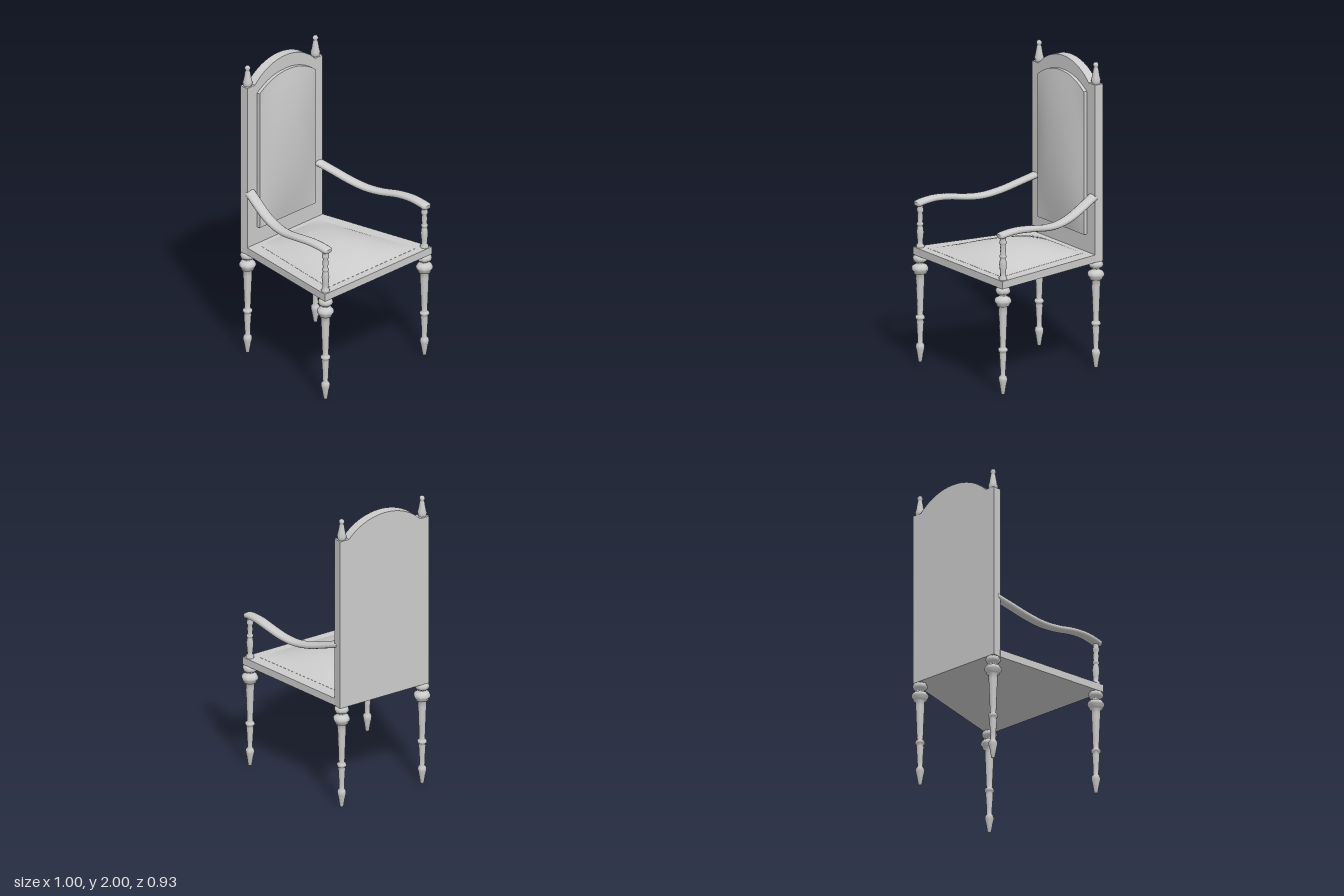
import * as THREE from 'three';
import { toCreasedNormals } from 'three/addons/utils/BufferGeometryUtils.js';

const material = new THREE.MeshStandardMaterial({ color: 0xcccccc, side: THREE.DoubleSide });

function addMesh(parent, name, geometry, x = 0, y = 0, z = 0) {
  const mesh = new THREE.Mesh(geometry, material);
  mesh.name = name;
  mesh.position.set(x, y, z);
  parent.add(mesh);
  return mesh;
}

// Eight-sided turned part from [radius, height] pairs, bottom to top
function turned(profile) {
  return new THREE.LatheGeometry(profile.map(([r, y]) => new THREE.Vector2(r, y)), 8);
}

// Domed cushion: the outermost ring of the grid forms a short skirt
function cushion(place) {
  const n = 18;
  const geometry = new THREE.PlaneGeometry(2, 2, n, n);
  const pos = geometry.attributes.position;
  const inner = (i) => THREE.MathUtils.clamp((i - 1) / (n - 2), 0, 1) * 2 - 1;
  for (let k = 0; k < pos.count; k++) {
    const col = k % (n + 1), row = Math.floor(k / (n + 1));
    const u = inner(col), v = -inner(row);
    const border = col === 0 || col === n || row === 0 || row === n;
    const dome = (1 - Math.abs(u) ** 2.2) * (1 - Math.abs(v) ** 2.2);
    pos.setXYZ(k, ...place(u, v, dome, border));
  }
  return toCreasedNormals(geometry, 0.7);
}

// Armrest: rounded cross-sections swept along a curve
function armrest(side) {
  const path = new THREE.CatmullRomCurve3([
    [0.445, 1.036, 0.44], [0.445, 1.045, 0.4], [0.446, 1.053, 0.3], [0.442, 1.043, 0.18],
    [0.424, 1.024, 0.06], [0.402, 1.022, -0.05], [0.374, 1.045, -0.17],
    [0.342, 1.083, -0.28], [0.307, 1.123, -0.39],
  ].map(([x, y, z]) => new THREE.Vector3(x * side, y, z)));
  const steps = 32, sides = 12;
  const positions = [], indices = [];
  for (let i = 0; i <= steps; i++) {
    const p = path.getPoint(i / steps), t = path.getTangent(i / steps);
    const across = new THREE.Vector3(t.z, 0, -t.x).normalize();
    const up = new THREE.Vector3().crossVectors(t, across);
    const scale = i === 0 ? 0.75 : 1;
    for (let j = 0; j < sides; j++) {
      const a = (j / sides) * Math.PI * 2;
      const c = Math.cos(a), s = Math.sin(a);
      const q = p.clone()
        .addScaledVector(across, 0.035 * scale * Math.sign(c) * Math.abs(c) ** 0.75)
        .addScaledVector(up, 0.019 * scale * Math.sign(s) * Math.abs(s) ** 0.75);
      positions.push(q.x, q.y, q.z);
      if (i < steps) {
        const b = i * sides + j, d = i * sides + ((j + 1) % sides);
        indices.push(b, d, b + sides, d, d + sides, b + sides);
      }
    }
  }
  // End caps
  for (let j = 1; j < sides - 1; j++) {
    const e = steps * sides;
    indices.push(0, j + 1, j, e, e + j, e + j + 1);
  }
  const geometry = new THREE.BufferGeometry();
  geometry.setAttribute('position', new THREE.Float32BufferAttribute(positions, 3));
  geometry.setIndex(indices);
  return toCreasedNormals(geometry, 1);
}

export function createModel() {
  const chair = new THREE.Group();
  chair.name = 'armchair';

  // Trapezoid seat board
  const seat = new THREE.Shape([[-0.48, -0.44], [0.48, -0.44], [0.34, 0.38], [-0.34, 0.38]]
    .map(([x, y]) => new THREE.Vector2(x, y)));
  const seatGeometry = new THREE.ExtrudeGeometry(seat, { depth: 0.05, bevelEnabled: false });
  seatGeometry.rotateX(-Math.PI / 2);
  addMesh(chair, 'seat', seatGeometry, 0, 0.7, 0);

  // Seat cushion, narrower toward the back
  addMesh(chair, 'seatCushion', cushion((u, v, dome, border) => [
    u * THREE.MathUtils.lerp(0.397, 0.26, (v + 1) / 2),
    (border ? 0.745 : 0.751) + 0.075 * dome,
    0.02 - v * 0.365,
  ]));

  // Tall back panel with an arched top between two square shoulders
  const back = new THREE.Shape();
  back.moveTo(-0.338, 0.7);
  back.lineTo(0.338, 0.7);
  back.lineTo(0.338, 1.86);
  back.lineTo(0.27, 1.86);
  back.bezierCurveTo(0.2, 1.935, 0.1, 1.975, 0, 1.975);
  back.bezierCurveTo(-0.1, 1.975, -0.2, 1.935, -0.27, 1.86);
  back.lineTo(-0.338, 1.86);
  back.closePath();
  const backGeometry = new THREE.ExtrudeGeometry(back, { depth: 0.062, bevelEnabled: false, curveSegments: 14 });
  addMesh(chair, 'backPanel', toCreasedNormals(backGeometry, 0.5), 0, 0, -0.441);

  // Back cushion with an arched upper edge
  addMesh(chair, 'backCushion', cushion((u, v, dome, border) => {
    const top = 1.8 + 0.085 * (1 - Math.abs(u) ** 2.2);
    return [u * 0.25, THREE.MathUtils.lerp(0.865, top, (v + 1) / 2), border ? -0.38 : -0.356 + 0.046 * dome];
  }));

  const legGeometry = turned([
    [0, 0], [0.012, 0.002], [0.021, 0.06], [0.027, 0.085], [0.029, 0.1], [0.026, 0.115],
    [0.017, 0.125], [0.018, 0.17], [0.024, 0.265], [0.021, 0.275], [0.03, 0.282], [0.032, 0.292],
    [0.028, 0.302], [0.019, 0.308], [0.021, 0.36], [0.028, 0.54], [0.029, 0.575], [0.042, 0.58],
    [0.044, 0.592], [0.054, 0.603], [0.055, 0.617], [0.047, 0.632], [0.026, 0.642], [0.025, 0.652],
    [0.044, 0.662], [0.048, 0.678], [0.043, 0.694], [0.028, 0.702],
  ]);
  const postGeometry = turned([
    [0.026, 0.745], [0.027, 0.765], [0.017, 0.775], [0.019, 0.8], [0.024, 0.85], [0.019, 0.885],
    [0.016, 0.89], [0.023, 0.897], [0.023, 0.907], [0.016, 0.915], [0.019, 0.95], [0.016, 0.975],
    [0.022, 0.985], [0.023, 1.0], [0.018, 1.01], [0.022, 1.04],
  ]);
  const finialGeometry = turned([
    [0.024, 1.855], [0.029, 1.868], [0.031, 1.885], [0.025, 1.905], [0.016, 1.96], [0.012, 1.966],
    [0.018, 1.976], [0.018, 1.987], [0.011, 1.997], [0, 2],
  ]);

  // Paired parts
  for (const [side, label] of [[1, 'left'], [-1, 'right']]) {
    addMesh(chair, `${label}FrontLeg`, legGeometry, side * 0.445, 0, 0.41);
    addMesh(chair, `${label}BackLeg`, legGeometry, side * 0.305, 0, -0.41);
    addMesh(chair, `${label}ArmPost`, postGeometry, side * 0.445, 0, 0.41);
    addMesh(chair, `${label}Finial`, finialGeometry, side * 0.305, 0, -0.41);
    addMesh(chair, `${label}Armrest`, armrest(side));
  }
  return chair;
}
